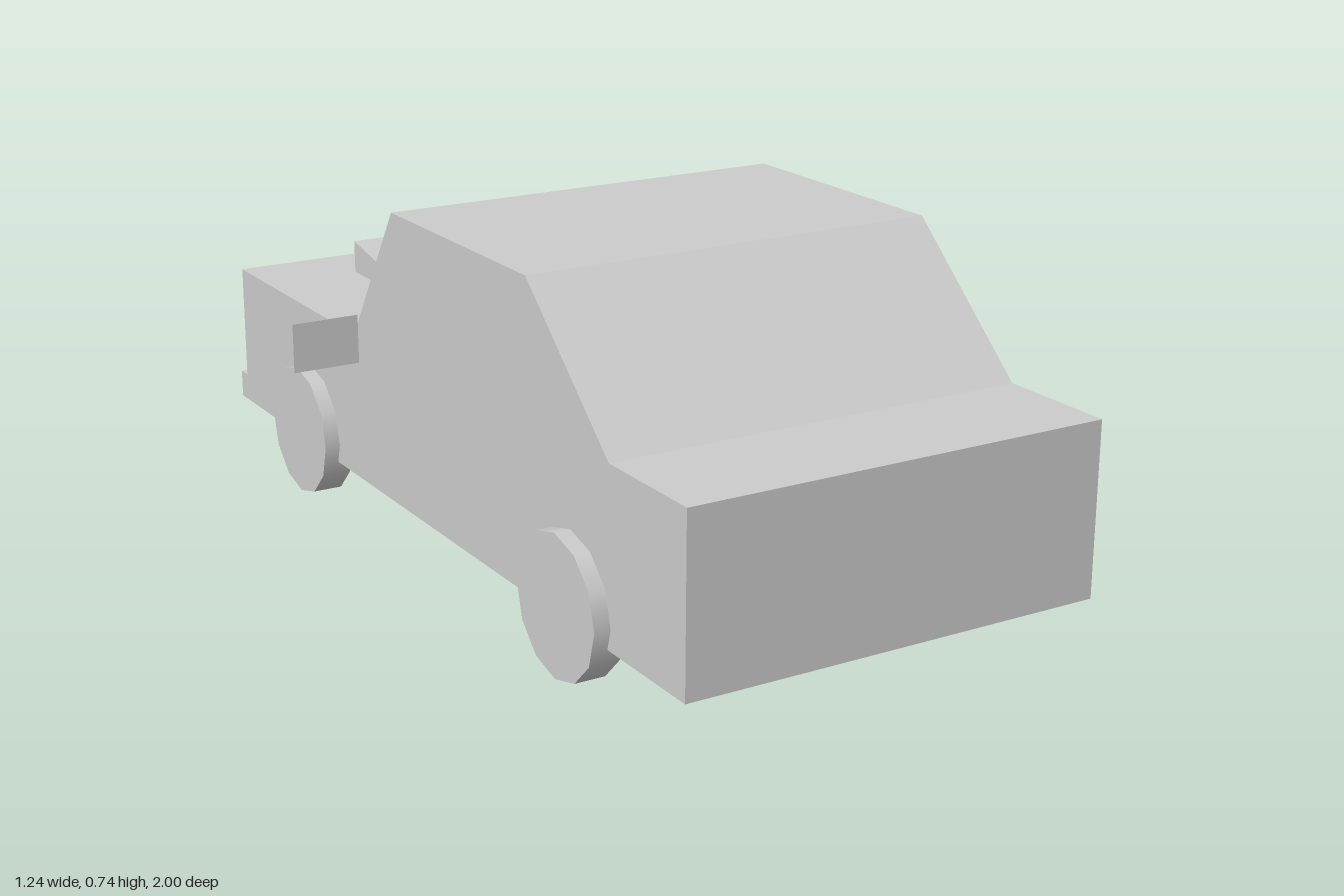
import * as THREE from 'three';

const grey = new THREE.MeshStandardMaterial({ color: 0xcccccc });

// Extrudes a side profile of [z, y] points across x, centred on x = 0
function sideProfile(points, width) {
  const shape = new THREE.Shape(points.map(([z, y]) => new THREE.Vector2(z, y)));
  const geo = new THREE.ExtrudeGeometry(shape, { depth: width, bevelEnabled: false });
  geo.translate(0, 0, -width / 2);
  return geo.rotateY(-Math.PI / 2);
}

export function createModel() {
  const car = new THREE.Group();
  car.name = 'car';

  const add = (name, geo, x = 0, y = 0, z = 0) => {
    const mesh = new THREE.Mesh(geo, grey);
    mesh.name = name;
    mesh.position.set(x, y, z);
    car.add(mesh);
  };

  // Body with cabin and the low bumper step at the -z end
  add('body', sideProfile([
    [1, 0.103], [1, 0.463], [0.742, 0.463], [0.44, 0.735], [-0.13, 0.735],
    [-0.333, 0.425], [-0.965, 0.425], [-0.965, 0.165], [-1, 0.165], [-1, 0.103],
  ], 0.912));

  // Wedge-shaped hood scoop
  add('hoodScoop', sideProfile([
    [-0.473, 0.42], [-0.473, 0.435], [-0.808, 0.499], [-0.808, 0.42],
  ], 0.472));

  // Wheels
  const wheel = new THREE.CylinderGeometry(0.146, 0.146, 0.065, 12).rotateZ(Math.PI / 2);

  // Mirror housing: a box tapering towards -z
  const mirror = new THREE.BoxGeometry(0.148, 0.106, 0.046);
  const p = mirror.attributes.position;
  for (let i = 0; i < p.count; i++) {
    if (p.getZ(i) < 0) p.setXY(i, p.getX(i) * 0.74, p.getY(i) * 0.74);
  }
  mirror.computeVertexNormals();

  for (const [side, s] of [['left', 1], ['right', -1]]) {
    add(side + 'WheelA', wheel, s * 0.4575, 0.146, 0.602);
    add(side + 'WheelB', wheel, s * 0.4575, 0.146, -0.577);
    add(side + 'Mirror', mirror, s * 0.545, 0.432, -0.302);
  }
  return car;
}
